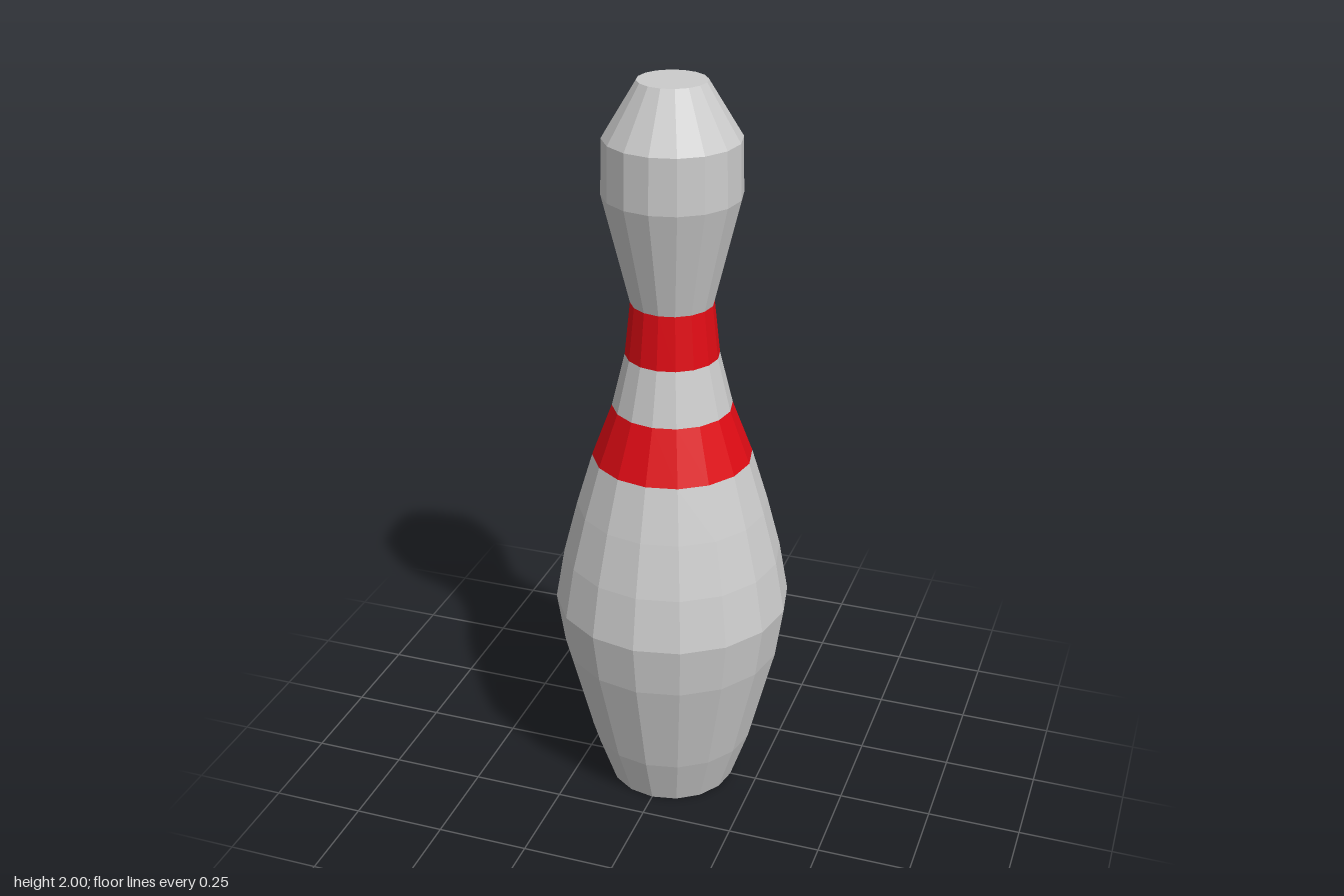
import * as THREE from 'three';

const SIDES = 16;
const STEP = 2 / 14; // height of each ring

// Radius of each ring, from the base to the flat top
const RADII = [0.175, 0.224, 0.26, 0.296, 0.317, 0.292, 0.255, 0.212,
  0.158, 0.123, 0.108, 0.143, 0.178, 0.175, 0.088];

export function createModel() {
  const group = new THREE.Group();
  group.name = 'bowlingPin';
  const grey = new THREE.MeshStandardMaterial({ color: 0xcccccc, flatShading: true });
  const red = new THREE.MeshStandardMaterial({ color: 0xe00b14, flatShading: true });

  // Turned section between two rings, closed at the ends of the pin
  function addSection(name, from, to, material) {
    const points = [];
    if (from === 0) points.push(new THREE.Vector2(0, 0));
    for (let i = from; i <= to; i++) points.push(new THREE.Vector2(RADII[i], i * STEP));
    if (to === RADII.length - 1) points.push(new THREE.Vector2(0, to * STEP));
    const mesh = new THREE.Mesh(new THREE.LatheGeometry(points, SIDES), material);
    mesh.name = name;
    group.add(mesh);
  }

  addSection('body', 0, 7, grey);
  addSection('lowerStripe', 7, 8, red);
  addSection('neck', 8, 9, grey);
  addSection('upperStripe', 9, 10, red);
  addSection('head', 10, 14, grey);

  return group;
}
